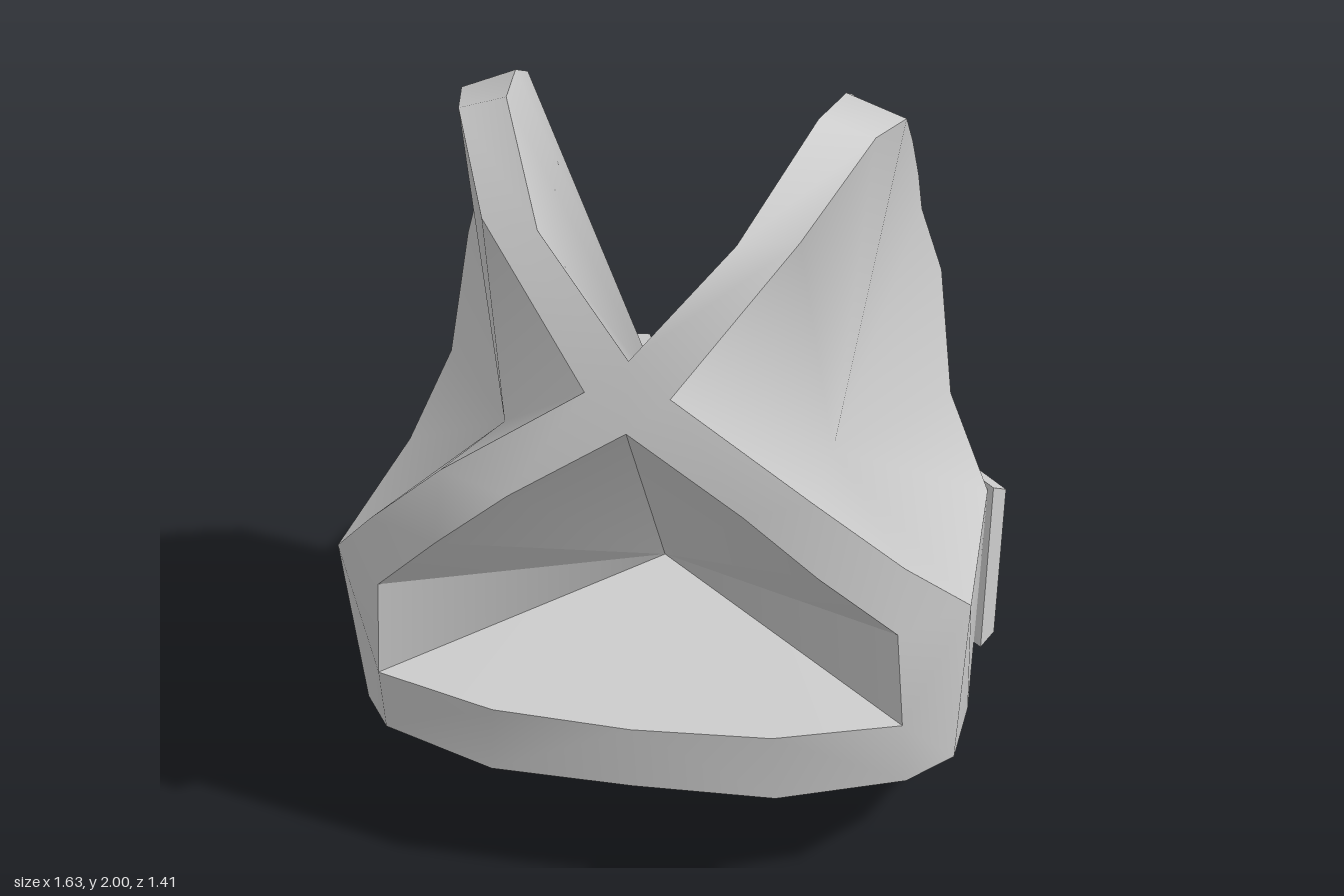
import * as THREE from 'three';
import { toCreasedNormals } from 'three/addons/utils/BufferGeometryUtils.js';
import { ConvexGeometry } from 'three/addons/geometries/ConvexGeometry.js';

const sheet = new THREE.MeshStandardMaterial({ color: 0xcccccc, side: THREE.DoubleSide });
const solid = new THREE.MeshStandardMaterial({ color: 0xcccccc });

// Edge curves of the +x half, as [x, y, z]
const neckEdge = [[0, 1.56, 0.63], [0.23, 1.82, 0.52], [0.37, 2, 0.2], [0.405, 1.96, -0.05],
  [0.405, 1.9, -0.18], [0.42, 1.74, -0.3], [0.45, 1.52, -0.41], [0.48, 1.3, -0.51],
  [0.505, 1.08, -0.535], [0.515, 0.92, -0.55]];
const armBack = [[0.1, 1.48, 0.65], [0.37, 1.82, 0.48], [0.5, 1.94, 0.15], [0.55, 1.89, -0.08],
  [0.55, 1.74, -0.28], [0.565, 1.63, -0.32], [0.575, 1.52, -0.35], [0.63, 1.33, -0.39],
  [0.675, 1, -0.33], [0.79, 0.74, -0.28]];
const armFront = [[0.1, 1.48, 0.65], [0.44, 1.26, 0.69], [0.65, 1.04, 0.59], [0.8, 0.82, 0.39]];
const holeEdge = [[0, 1.39, 0.67], [0.28, 1.21, 0.7], [0.46, 1.06, 0.7], [0.64, 0.85, 0.59]];
const backRim = [[0.515, 0.92, -0.55], [0.19, 0.91, -0.595], [0, 0.91, -0.6]];
const beltRim = [[0, 0.54, 0.66], [0.35, 0.55, 0.65], [0.66, 0.57, 0.57]];
const baseEdge = [[0, 0.36, 0.65], [0.36, 0.36, 0.64], [0.67, 0.35, 0.5], [0.775, 0.29, 0.3],
  [0.775, 0.055, -0.24], [0.5, 0.02, -0.55], [0.19, 0.01, -0.595], [0, 0.005, -0.6]];

// Triangles between two edges of equal length
function strip(a, b) {
  const tris = [];
  for (let i = 0; i < a.length - 1; i++) {
    tris.push([a[i], b[i], b[i + 1]], [a[i], b[i + 1], a[i + 1]]);
  }
  return tris;
}

// Triangles from a sunken point to an edge
function fan(apex, edge) {
  return edge.slice(1).map((p, i) => [apex, edge[i], p]);
}

// Mirror the half across x = 0 and smooth it up to the crease angle
function mirroredMesh(name, tris, crease) {
  const pos = [];
  for (const s of [1, -1]) {
    for (const [a, b, c] of tris) {
      for (const p of s > 0 ? [a, b, c] : [a, c, b]) pos.push(p[0] * s, p[1], p[2]);
    }
  }
  const geo = new THREE.BufferGeometry();
  geo.setAttribute('position', new THREE.Float32BufferAttribute(pos, 3));
  const mesh = new THREE.Mesh(toCreasedNormals(geo, crease), sheet);
  mesh.name = name;
  mesh.position.x = -0.02;
  return mesh;
}

function block(name, points) {
  const geo = new ConvexGeometry(points.map(p => new THREE.Vector3(...p)));
  const mesh = new THREE.Mesh(geo, solid);
  mesh.name = name;
  return mesh;
}

export function createModel() {
  const group = new THREE.Group();
  const cornerTop = armFront[3], sideBack = armBack[armBack.length - 1];

  // Crossed straps over the shoulders, flowing into the waist wall
  group.add(mirroredMesh('strapsAndWaist', [
    ...strip(neckEdge, armBack),
    ...strip(armFront, holeEdge),
    [neckEdge[0], holeEdge[0], armFront[0]],
    ...strip([...beltRim, cornerTop, sideBack, ...backRim], baseEdge),
    [holeEdge[3], beltRim[2], cornerTop],
  ], 1.3));

  // Sloping underside
  group.add(mirroredMesh('underside', strip(baseEdge, baseEdge.map(p => [0, p[1], p[2]])), 0.6));

  // Neck opening: smooth flanks and a flat wedge rising from the back rim
  const neckPoint = [0, 1.2, 0.17];
  group.add(mirroredMesh('neckLining', fan(neckPoint, neckEdge), Math.PI));
  group.add(mirroredMesh('backWedge', fan(neckPoint, backRim), 0.6));

  // Sunken sheets closing the front and arm openings
  group.add(mirroredMesh('frontLining',
    fan([0, 0.74, 0.17], [...holeEdge, ...[...beltRim].reverse()].reverse()), 0.5));
  group.add(mirroredMesh('armLining',
    fan([0.42, 1.07, 0.13], [...armFront, ...[...armBack].reverse()]), Math.PI));

  // Three pouches across the back, each a tapered plan [x, z]
  const plans = [
    [[-0.505, -0.55], [-0.5, -0.68], [-0.22, -0.71], [-0.185, -0.59]],
    [[-0.185, -0.59], [-0.14, -0.71], [0.15, -0.71], [0.19, -0.59]],
    [[0.19, -0.59], [0.24, -0.69], [0.49, -0.65], [0.5, -0.54]],
  ];
  plans.forEach((plan, i) => {
    const points = plan.flatMap(([x, z]) => {
      const outer = z < -0.62;
      return [[x, outer ? 0.89 : 0.92, z], [x, outer ? 0 : 0.02, z]];
    });
    group.add(block('backPouch' + (i + 1), points));
  });

  // Slanted pouch on each rear corner
  const sidePouch = [
    [0.785, 0.75, -0.28], [0.815, 0.7, -0.36], [0.6, 0.72, -0.57], [0.52, 0.78, -0.53],
    [0.78, 0.27, -0.23], [0.81, 0.27, -0.31], [0.6, 0.24, -0.56], [0.52, 0.24, -0.52]];
  for (const s of [1, -1]) {
    group.add(block(s > 0 ? 'leftSidePouch' : 'rightSidePouch', sidePouch.map(([x, y, z]) => [x * s, y, z])));
  }
  return group;
}
